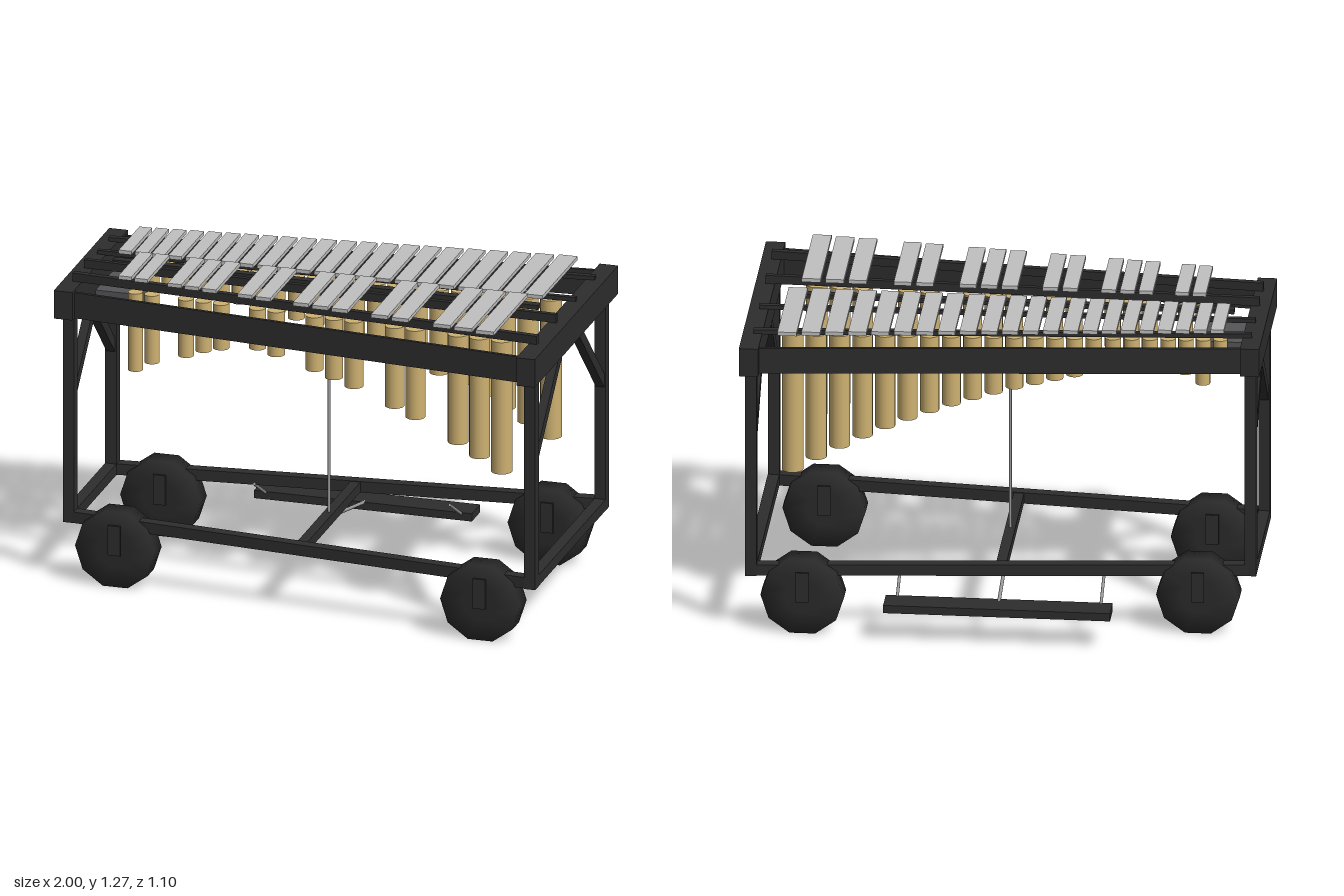
import * as THREE from 'three';

export function createModel() {
  const model = new THREE.Group();
  const material = (name, color) => {
    const m = new THREE.MeshStandardMaterial({ color });
    m.name = name;
    return m;
  };
  const black = material('black frame', 0x2d2d2d);
  const rubber = material('wheel rubber', 0x2a2a2a);
  const grey = material('motor grey', 0x555557);
  const steel = material('steel rod', 0x9a9a9e);
  const silver = material('silver bars', 0xc0c0c0);
  const gold = material('gold tubes', 0xcfb272);

  const add = (name, geometry, mat, x = 0, y = 0, z = 0) => {
    const mesh = new THREE.Mesh(geometry, mat);
    mesh.name = name;
    mesh.position.set(x, y, z);
    model.add(mesh);
    return mesh;
  };
  const box = (name, mat, w, h, d, x, y, z) =>
    add(name, new THREE.BoxGeometry(w, h, d), mat, x, y, z);

  // Square beam or round rod between two points
  const aim = (mesh, a, b) => {
    mesh.position.copy(a).add(b).multiplyScalar(0.5);
    mesh.lookAt(b);
  };
  const beam = (name, a, b, w, h) => {
    const p = new THREE.Vector3(...a), q = new THREE.Vector3(...b);
    aim(add(name, new THREE.BoxGeometry(w, h, p.distanceTo(q)), black), p, q);
  };
  const rod = (name, a, b, r) => {
    const p = new THREE.Vector3(...a), q = new THREE.Vector3(...b);
    const g = new THREE.CylinderGeometry(r, r, p.distanceTo(q), 10).rotateX(Math.PI / 2);
    aim(add(name, g, steel), p, q);
  };

  // End caps, small on the right and large on the left
  box('smallEndCap', black, 0.075, 0.115, 0.725, -0.9625, 1.148, 0);
  box('largeEndCap', black, 0.075, 0.115, 1.09, 0.9625, 1.148, 0);

  // Legs, floor frame and braces
  const ends = [{ x: -0.96, z: 0.277 }, { x: 0.96, z: 0.46 }];
  for (const { x, z } of ends) {
    box('floorCrossbar', black, 0.045, 0.045, 2 * z, x, 0.256, 0);
    for (const s of [1, -1]) {
      box('leg', black, 0.045, 0.865, 0.047, x, 0.665, s * z);
      beam('brace', [x, 0.755, s * (z - 0.01)], [x, 1.075, s * (z - 0.33)], 0.035, 0.04);
    }
  }
  box('middleCrossbar', black, 0.04, 0.04, 0.74, 0, 0.256, 0);

  // Wheel with ten sides, fork plates and axle
  const R = 0.162;
  const wheelGeometry = new THREE.LatheGeometry(
    [[0, -0.042], [0.07, -0.042], [R, -0.042], [R, 0.042], [0.07, 0.042], [0, 0.042]]
      .map(([x, y]) => new THREE.Vector2(x, y)), 10, Math.PI / 2).rotateX(Math.PI / 2);

  for (const s of [1, -1]) {
    // Long rails spread toward the large end
    beam('floorRail', [-0.96, 0.256, s * 0.277], [0.96, 0.256, s * 0.46], 0.045, 0.045);
    beam('sideRail', [-0.95, 1.143, s * 0.327], [0.95, 1.143, s * 0.505], 0.014, 0.105);
    const y = s > 0 ? 1.224 : 1.212, h = s > 0 ? 0.034 : 0.018;
    beam('innerBarRail', [-0.96, y, s * 0.083], [0.96, y, s * 0.127], 0.02, h);
    beam('outerBarRail', [-0.96, y, s * 0.234], [0.96, y, s * 0.376], 0.024, h);

    for (const [x, z] of [[-0.76, 0.295], [0.76, 0.441]]) {
      add('wheel', wheelGeometry, rubber, x, 0.156, s * z);
      add('axle', new THREE.CylinderGeometry(0.015, 0.015, 0.11, 10).rotateX(Math.PI / 2),
        black, x, 0.17, s * z);
      for (const side of [1, -1])
        box('forkPlate', black, 0.05, 0.122, 0.009, x, 0.197, s * z + side * 0.054);
    }

    rod('pedalArm', [s * 0.395, 0.24, -0.3], [s * 0.395, 0.145, -0.46], 0.006);
  }
  box('damperBar', black, 1.72, 0.018, 0.034, -0.01, 1.215, 0);

  // Motor box, pedal and damper rods
  box('motorBox', grey, 0.145, 0.1, 0.23, -0.835, 1.08, 0);
  box('pedal', black, 0.88, 0.032, 0.108, 0, 0.142, -0.497);
  rod('pedalLink', [0, 0.238, -0.07], [0, 0.15, -0.47], 0.007);
  add('damperRod', new THREE.CylinderGeometry(0.006, 0.006, 0.94, 10), steel, 0, 0.74, 0);

  // Tone bar with the resonator tube beneath it; t runs 0 to 1 toward the large end
  const note = (row, x, s, zNear, y, bottom) => {
    const t = (x + 0.83) / 1.65;
    const zFar = 0.292 + 0.184 * t;
    const z = s * (zNear + zFar) / 2;
    box(row + 'Bar', silver, 0.051 + 0.023 * t, 0.015, zFar - zNear, x, y, z);
    const r = 0.028 + 0.014 * t;
    add(row + 'Tube', new THREE.CylinderGeometry(r, r, 1.16 - bottom, 18), gold,
      x, (1.16 + bottom) / 2, z);
  };

  // Natural row: low notes at the large end, length halves each octave
  const centres = [];
  for (let i = 0, x = 0.82; i < 22; i++) {
    centres.push(x);
    x -= 0.0912 - 0.0252 * i / 20;
  }
  const bottomAt = (i) => 1.16 - 0.57 * 2 ** (-i / 7);
  centres.forEach((x, i) => note('natural', x, -1, 0.02, 1.245, bottomAt(i)));

  // Raised row in groups of three and two; the five highest tubes form an arch
  const arch = { 14: 0.975, 15: 0.955, 16: 0.925, 18: 0.88, 19: 0.84 };
  for (let i = 0; i < 21; i++) {
    if (i % 7 === 3 || i % 7 === 6) continue;
    const x = (centres[i] + centres[i + 1]) / 2;
    note('raised', x, 1, 0.025, 1.265, arch[i] ?? bottomAt(i + 0.5));
  }
  return model;
}
